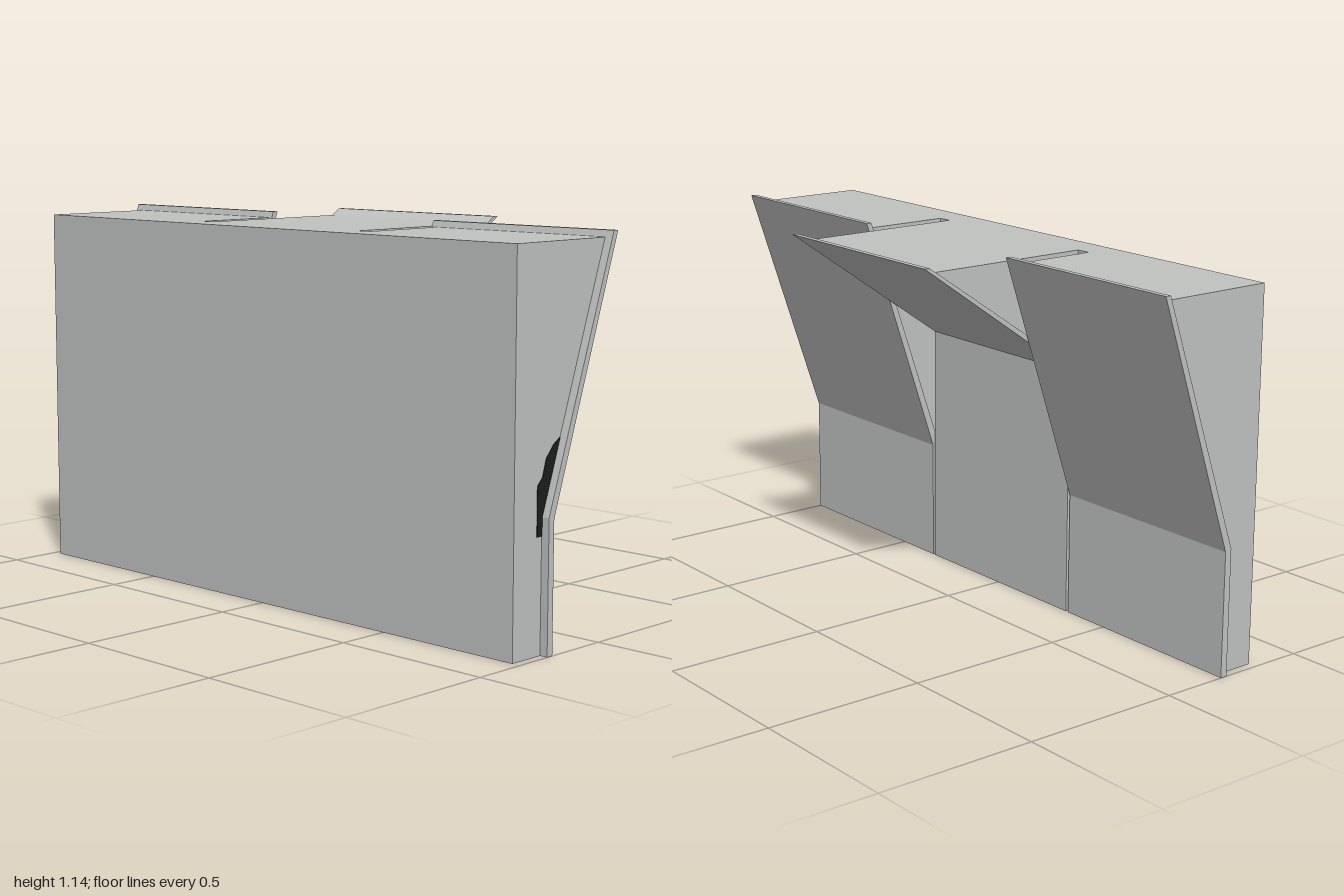
import * as THREE from 'three';

export function createModel() {
  const group = new THREE.Group();
  const grey = new THREE.MeshStandardMaterial({ color: 0xc0c3c1 });
  grey.name = 'light grey';
  const dark = new THREE.MeshStandardMaterial({ color: 0x1c1e1d });
  dark.name = 'dark grey';

  // Extrudes a side profile of [z, y] points from x0 to x1
  function slab(name, profile, x0, x1, material = grey) {
    const shape = new THREE.Shape(profile.map(([z, y]) => new THREE.Vector2(-z, y)));
    const geometry = new THREE.ExtrudeGeometry(shape, { depth: x1 - x0, bevelEnabled: false });
    geometry.rotateY(Math.PI / 2).translate(x0, 0, 0);
    const mesh = new THREE.Mesh(geometry, material);
    mesh.name = name;
    group.add(mesh);
  }

  // Front wall
  const top = 1.122, join = 0.245;
  slab('frontWall', [[0.34, 0], [join, 0], [join, top], [0.34, top]], -0.975, 0.975);

  // Filled blocks behind the wall, separated by two slots
  const sideBlock = [[join, 0], [0.222, 0], [0.222, 0.383], [-0.032, top], [join, top]];
  const centreBlock = [[join, 0], [0.222, 0], [0.222, 0.768], [-0.297, top], [join, top]];
  slab('centreBlock', centreBlock, -0.31, 0.31);

  // Bent back panels, slightly wider and taller than the blocks
  const sidePanel = [[0.224, 0], [0.202, 0], [0.202, 0.378], [-0.056, 1.141], [-0.038, 1.141], [0.224, 0.383]];
  const centrePanel = [[0.224, 0], [0.202, 0], [0.202, 0.762], [-0.34, 1.141], [-0.322, 1.141], [0.224, 0.768]];
  slab('centrePanel', centrePanel, -0.33, 0.33);

  // Dark patch on the same face of each side block
  const patch = [[0.245, 0.33], [0.225, 0.33], [0.223, 0.385], [0.152, 0.593],
    [0.18, 0.575], [0.21, 0.54], [0.225, 0.49], [0.245, 0.47]];

  for (const [side, x0, x1] of [['left', 0.355, 0.975], ['right', -0.975, -0.355]]) {
    slab(side + 'Block', sideBlock, x0, x1);
    slab(side + 'Panel', sidePanel, side === 'left' ? 0.34 : -1, side === 'left' ? 1 : -0.34);
    slab(side + 'Patch', patch, x1 - 0.002, x1 + 0.002, dark);
  }
  return group;
}
